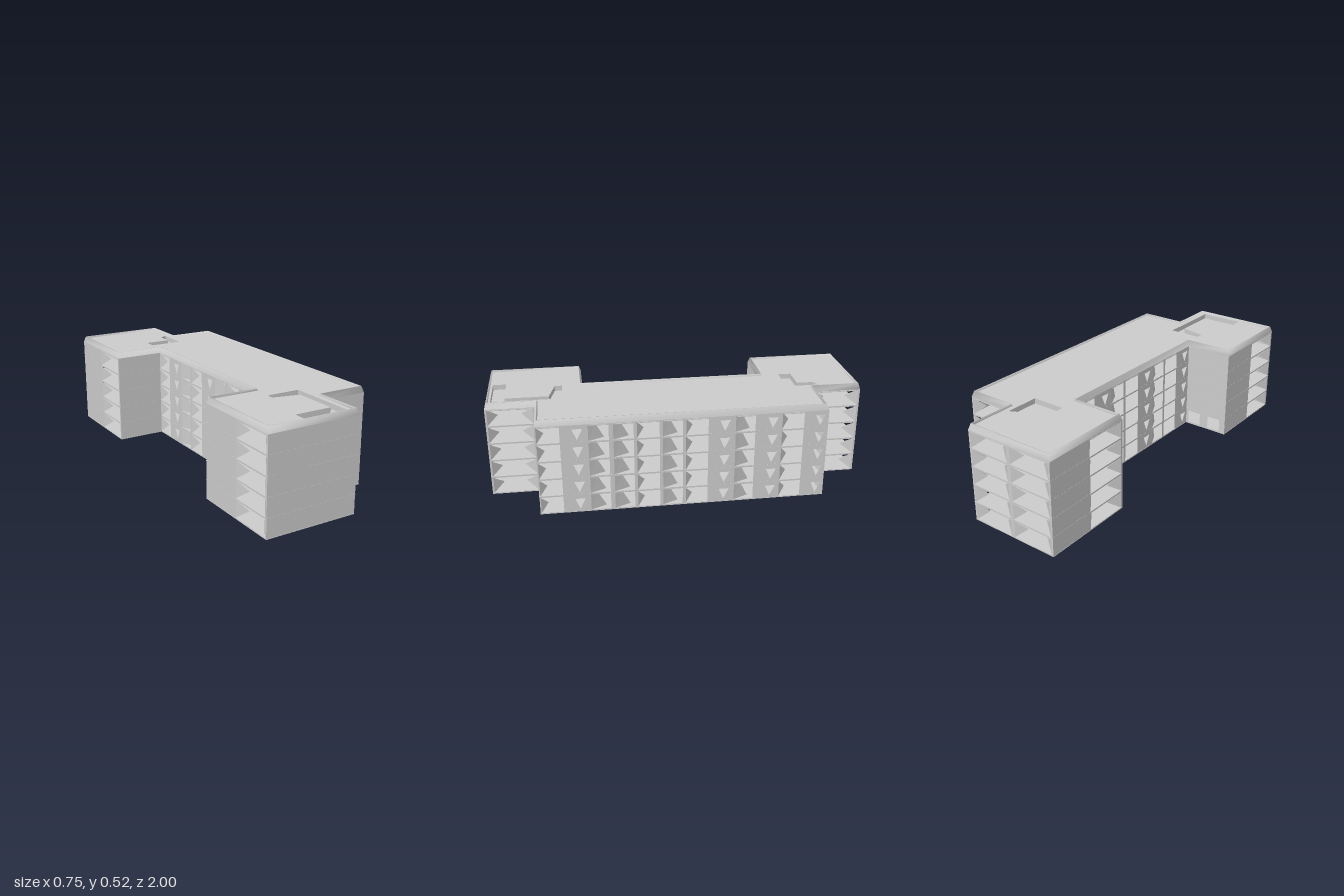
import * as THREE from 'three';
import { mergeVertices } from 'three/addons/utils/BufferGeometryUtils.js';

const FLOORS = 5, STOREY = 0.098, EAVES = 0.49;
const grey = new THREE.MeshStandardMaterial({ color: 0xcccccc, flatShading: true });
const thin = new THREE.MeshStandardMaterial({ color: 0xcccccc, flatShading: true, side: THREE.DoubleSide });
const smooth = new THREE.MeshStandardMaterial({ color: 0xcccccc, side: THREE.DoubleSide });

// Footprint corners (x, z), each with the bay pattern of the wall starting there
// S solid, D ground-floor doorway, W wide window, O open bay, H bay with slanted panel, T panel with wedge light
const WALLS = [
  [-0.375, 1, 'S'], [0.125, 1, 'W'], [0.125, 0.745, 'DD'], [0.375, 0.745, 'OTHHOHOTHTOT'],
  [0.375, -0.745, 'W'], [0.125, -0.745, 'W'], [0.125, -1, 'WW'], [-0.375, -1, 'SW'],
  [-0.375, -0.49, 'S'], [-0.11, -0.49, 'OTHOTHOT'], [-0.11, 0.49, 'DD'], [-0.375, 0.49, 'SW'],
];
const FOOTPRINT = WALLS.map(([x, z]) => [x, z]);

// Opening outlines as fractions of bay width and storey height
const OPENINGS = {
  D: [[0.12, 0.08], [0.72, 0.08], [0.72, 0.82], [0.12, 0.82]],
  W: [[0.04, 0.04], [0.96, 0.04], [0.96, 0.95], [0.04, 0.95]],
  O: [[0.05, 0.04], [0.97, 0.04], [0.97, 0.95], [0.05, 0.95]],
  H: [[0.1, 0.05], [0.92, 0.05], [0.92, 0.95], [0.1, 0.95]],
  T: [[0.65, 0.15], [0.88, 0.75], [0.45, 0.75]],
};

const named = (mesh, name) => { mesh.name = name; return mesh; };

// Offset an axis-aligned outline inwards by d
function inset(points, d) {
  const n = points.length;
  const normal = (a, b) => {
    const dx = b[0] - a[0], dz = b[1] - a[1], l = Math.hypot(dx, dz);
    return [-dz / l, dx / l];
  };
  return points.map((p, i) => {
    const m = normal(points[(i + n - 1) % n], p), k = normal(p, points[(i + 1) % n]);
    return [p[0] - d * (m[0] + k[0]), p[1] - d * (m[1] + k[1])];
  });
}

// Plan shape; y is flipped so that rotateX(-90 degrees) restores z
const planShape = (pts) => new THREE.Shape(pts.map(([x, z]) => new THREE.Vector2(x, -z)));

function slab(pts, y, thickness) {
  const geo = new THREE.ExtrudeGeometry(planShape(pts), { depth: thickness, bevelEnabled: false });
  return new THREE.Mesh(geo.rotateX(-Math.PI / 2).translate(0, y, 0), grey);
}

function triangles(pos) {
  const geo = new THREE.BufferGeometry();
  geo.setAttribute('position', new THREE.Float32BufferAttribute(pos, 3));
  geo.computeVertexNormals();
  return geo;
}

// Skin a stack of outlines [points, height] with flat quads
function band(rings) {
  const pos = [];
  for (let k = 0; k + 1 < rings.length; k++) {
    const [lo, y0] = rings[k], [hi, y1] = rings[k + 1];
    lo.forEach((a, i) => {
      const j = (i + 1) % lo.length;
      const A = [a[0], y0, a[1]], B = [lo[j][0], y0, lo[j][1]];
      const C = [hi[j][0], y1, hi[j][1]], D = [hi[i][0], y1, hi[i][1]];
      pos.push(...A, ...B, ...C, ...A, ...C, ...D);
    });
  }
  return triangles(pos);
}

// One facade: a pierced skin with splayed reveals behind its windows
function wall(a, b, pattern) {
  const group = named(new THREE.Group(), 'facade');
  const length = Math.hypot(b[0] - a[0], b[1] - a[1]);
  const bay = length / pattern.length;
  const skin = new THREE.Shape([[0, 0], [length, 0], [length, EAVES], [0, EAVES]].map((p) => new THREE.Vector2(...p)));
  const reveals = [];
  [...pattern].forEach((type, i) => {
    if (type === 'S') return;
    const storeys = type === 'D' ? 1 : FLOORS;
    for (let f = 0; f < storeys; f++) {
      const at = (u, v) => [(i + u) * bay, (f + v) * STOREY + 0.002];
      skin.holes.push(new THREE.Path(OPENINGS[type].map(([u, v]) => new THREE.Vector2(...at(u, v)))));
      // Splayed reveal wedges narrowing the opening towards the inside
      const wedge = (u, tip, depth) =>
        reveals.push(...at(u, 0.05), 0, ...at(u, 0.95), 0, ...at(tip, 0.5), -depth);
      if (type === 'W') { wedge(0.04, 0.25, 0.04); wedge(0.96, 0.72, 0.04); }
      if (type === 'O') wedge(0.05, 0.35, 0.03);
      if (type === 'H') {
        // Panel slanting inwards from the pier, cut back towards its top
        const p = [...at(0.1, 0.05), 0], q = [...at(0.75, 0.05), -0.04];
        const r = [...at(0.4, 0.95), -0.02], s = [...at(0.1, 0.95), 0];
        reveals.push(...p, ...q, ...r, ...p, ...r, ...s);
      }
    }
  });
  group.add(named(new THREE.Mesh(new THREE.ShapeGeometry(skin), thin), 'wallSkin'));
  if (reveals.length) group.add(named(new THREE.Mesh(triangles(reveals), thin), 'windowReveals'));
  group.position.set(a[0], 0, a[1]);
  group.rotation.y = Math.atan2(a[1] - b[1], b[0] - a[0]);
  return group;
}

export function createModel() {
  const model = named(new THREE.Group(), 'building');

  // Outer walls
  WALLS.forEach(([x, z, pattern], i) => model.add(wall([x, z], FOOTPRINT[(i + 1) % WALLS.length], pattern)));

  // Floor plates, just proud of the walls so they read as storey lines
  const plate = inset(FOOTPRINT, -0.0008);
  for (let f = 0; f < FLOORS; f++) {
    model.add(named(slab(plate, f * STOREY + (f ? 0.002 : 0), 0.004), f ? 'floorPlate' : 'groundSlab'));
  }
  model.add(named(slab(inset(FOOTPRINT, 0.002), 0.48, 0.004), 'topCeiling'));

  // Softly shaded sloping parapet with a narrow rim
  const roofEdge = inset(FOOTPRINT, 0.018), roofY = 0.512;
  const coping = band([
    [FOOTPRINT, EAVES], [inset(FOOTPRINT, 0.01), 0.522], [inset(FOOTPRINT, 0.014), 0.522], [roofEdge, roofY],
  ]);
  coping.deleteAttribute('normal');
  const parapet = mergeVertices(coping);
  parapet.computeVertexNormals();
  model.add(named(new THREE.Mesh(parapet, smooth), 'parapet'));

  // Roof deck with an angled well over each stair core
  const wells = [
    [[-0.1, -0.6], [0.08, -0.6], [0.08, -0.78], [0.04, -0.76], [0.04, -0.67], [-0.1, -0.67]],
    [[-0.16, 0.97], [0.08, 0.97], [0.08, 0.6], [-0.1, 0.6], [-0.1, 0.64], [0.04, 0.67], [0.04, 0.9], [-0.16, 0.9]],
  ];
  const deck = planShape(roofEdge);
  wells.forEach((w) => {
    deck.holes.push(planShape(w));
    const rim = [...w].reverse();
    model.add(named(new THREE.Mesh(band([[rim, 0.484], [rim, roofY]]), thin), 'roofWell'));
  });
  const deckGeo = new THREE.ShapeGeometry(deck).rotateX(-Math.PI / 2).translate(0, roofY, 0);
  model.add(named(new THREE.Mesh(deckGeo, thin), 'roofDeck'));

  return model;
}
